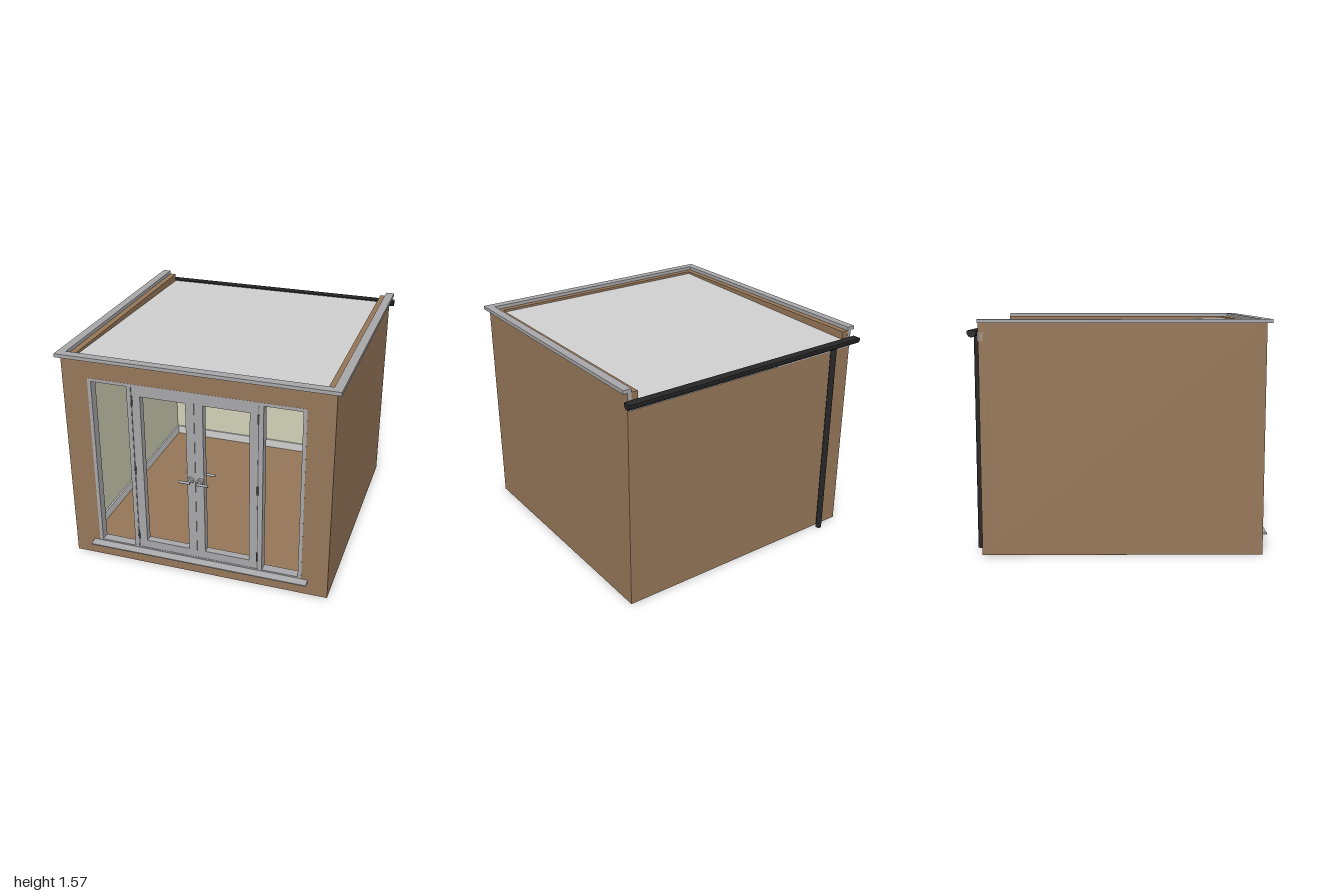
import * as THREE from 'three';

const mat = (name, color, side = THREE.FrontSide) => {
  const m = new THREE.MeshStandardMaterial({ color, side });
  m.name = name;
  return m;
};

export function createModel() {
  const timber = mat('timber brown', 0x967759);
  const grey = mat('frame grey', 0xa8a8aa);
  const pale = mat('roof pale grey', 0xd0d0d0);
  const cream = mat('interior cream', 0xd2d2b8);
  const black = mat('gutter black', 0x262626, THREE.DoubleSide);
  const seal = mat('seal dark grey', 0x626264);

  const model = new THREE.Group();
  model.name = 'gardenRoom';

  const add = (name, geo, material, parent = model) => {
    const m = new THREE.Mesh(geo, material);
    m.name = name;
    parent.add(m);
    return m;
  };
  // box given by its limits on each axis
  const box = (name, material, x0, x1, y0, y1, z0, z1, parent) => {
    const g = new THREE.BoxGeometry(x1 - x0, y1 - y0, z1 - z0);
    g.translate((x0 + x1) / 2, (y0 + y1) / 2, (z0 + z1) / 2);
    return add(name, g, material, parent);
  };
  const rect = (P, x0, x1, y0, y1) => {
    const p = new P();
    p.moveTo(x0, y0); p.lineTo(x1, y0); p.lineTo(x1, y1); p.lineTo(x0, y1); p.closePath();
    return p;
  };
  // upright panel with rectangular openings
  const panel = (name, material, outer, holes, z0, z1) => {
    const s = rect(THREE.Shape, ...outer);
    holes.forEach(h => s.holes.push(rect(THREE.Path, ...h)));
    const g = new THREE.ExtrudeGeometry(s, { depth: z1 - z0, bevelEnabled: false });
    g.translate(0, 0, z0);
    return add(name, g, material);
  };
  // (z, y) profile swept along x, centred
  const sweepX = (name, material, pts, width) => {
    const s = new THREE.Shape(pts.map(p => new THREE.Vector2(...p)));
    const g = new THREE.ExtrudeGeometry(s, { depth: width, bevelEnabled: false });
    g.translate(0, 0, -width / 2);
    g.rotateY(-Math.PI / 2);
    return add(name, g, material);
  };

  // Walls, base and floor
  const opening = [-0.755, 0.755, 0.11, 1.41];
  panel('frontWall', timber, [-0.94, 0.94, 0, 1.545], [opening], 0.87, 0.945);
  box('backWall', timber, -0.94, 0.94, 0, 1.425, -0.93, -0.855);
  box('base', black, -0.938, 0.938, -0.001, 0.004, -0.928, 0.943);
  box('floor', timber, -0.87, 0.87, 0.01, 0.09, -0.86, 0.88);
  for (const s of [-1, 1]) {
    const side = (name, m, a, b, ...r) => box(name, m, Math.min(s * a, s * b), Math.max(s * a, s * b), ...r);
    side('sideWall', timber, 0.865, 0.94, 0, 1.545, -0.93, 0.945);
    side('sideLining', cream, 0.858, 0.866, 0.09, 1.46, -0.856, 0.871);
    side('sideSkirting', pale, 0.846, 0.859, 0.09, 0.16, -0.85, 0.865);
    // Raised roof edges
    side('sideUpstand', grey, 0.91, 0.939, 1.43, 1.546, -0.932, 0.94);
    side('sideTrim', grey, 0.91, 0.97, 1.545, 1.57, -0.932, 0.978);
  }
  panel('frontLining', cream, [-0.86, 0.86, 0.09, 1.46], [opening], 0.863, 0.871);
  box('backLining', cream, -0.86, 0.86, 0.09, 1.46, -0.857, -0.849);
  box('backSkirting', pale, -0.85, 0.85, 0.09, 0.16, -0.85, -0.838);
  box('ceiling', cream, -0.865, 0.865, 1.44, 1.448, -0.855, 0.87);

  // Roof falling gently to the back
  box('frontTrim', grey, -0.911, 0.911, 1.545, 1.57, 0.915, 0.978);
  box('frontUpstand', grey, -0.911, 0.911, 1.45, 1.546, 0.915, 0.94);
  sweepX('roof', pale, [[-0.938, 1.45], [0.916, 1.45], [0.916, 1.53], [-0.938, 1.488]], 1.82);
  box('backFascia', grey, -0.94, 0.94, 1.425, 1.487, -0.936, -0.9);

  // Half-round gutter and downpipe
  const gutter = [];
  for (let i = 0; i <= 14; i++) {
    const a = Math.PI + (i / 14) * Math.PI;
    gutter.push([-0.968 + 0.031 * Math.cos(a), 1.488 + 0.034 * Math.sin(a)]);
  }
  gutter.push([-0.937, 1.497], [-0.999, 1.497]);
  sweepX('gutter', black, gutter, 1.94);
  const pipe = new THREE.CylinderGeometry(0.021, 0.021, 1.47, 20);
  pipe.translate(-0.75, 0.735, -0.965);
  add('downpipe', pipe, black);

  // Window frame, doors and sill
  panel('windowFrame', grey, opening, [
    [-0.73, -0.473, 0.13, 1.388],
    [-0.443, 0.443, 0.13, 1.388],
    [0.473, 0.73, 0.13, 1.388],
  ], 0.88, 0.946);
  for (const s of [-1, 1]) {
    const span = (a, b) => (s > 0 ? [a, b] : [-b, -a]);
    panel('door', grey, [...span(0.001, 0.436), 0.13, 1.388], [[...span(0.06, 0.38), 0.19, 1.325]], 0.89, 0.943);
    box('doorSeal', seal, ...span(0.435, 0.444), 0.13, 1.388, 0.9, 0.942);

    // Hinges
    for (const y of [0.23, 0.76, 1.29]) {
      const h = new THREE.CylinderGeometry(0.006, 0.006, 0.064, 10);
      h.translate(s * 0.438, y, 0.948);
      add('hinge', h, seal);
    }
    // Lever handles on both faces of the door
    for (const [face, out] of [[0.943, 1], [0.89, -1]]) {
      const handle = new THREE.Group();
      handle.name = 'doorHandle';
      handle.position.set(s * 0.035, 0.756, face);
      model.add(handle);
      const rose = new THREE.CylinderGeometry(0.02, 0.024, 0.012, 16);
      rose.rotateX(out * Math.PI / 2);
      rose.translate(0, 0, out * 0.006);
      add('handleRose', rose, grey, handle);
      const stem = new THREE.CylinderGeometry(0.008, 0.008, 0.04, 12);
      stem.rotateX(Math.PI / 2);
      stem.translate(0, 0, out * 0.028);
      add('handleStem', stem, grey, handle);
      const lever = new THREE.CylinderGeometry(0.009, 0.009, 0.08, 12);
      lever.rotateZ(Math.PI / 2);
      lever.translate(s * 0.03, 0, out * 0.047);
      add('handleLever', lever, grey, handle);
    }
  }
  sweepX('sill', grey, [[0.9, 0.1], [0.998, 0.1], [0.998, 0.108], [0.946, 0.119], [0.9, 0.119]], 1.6);

  return model;
}
